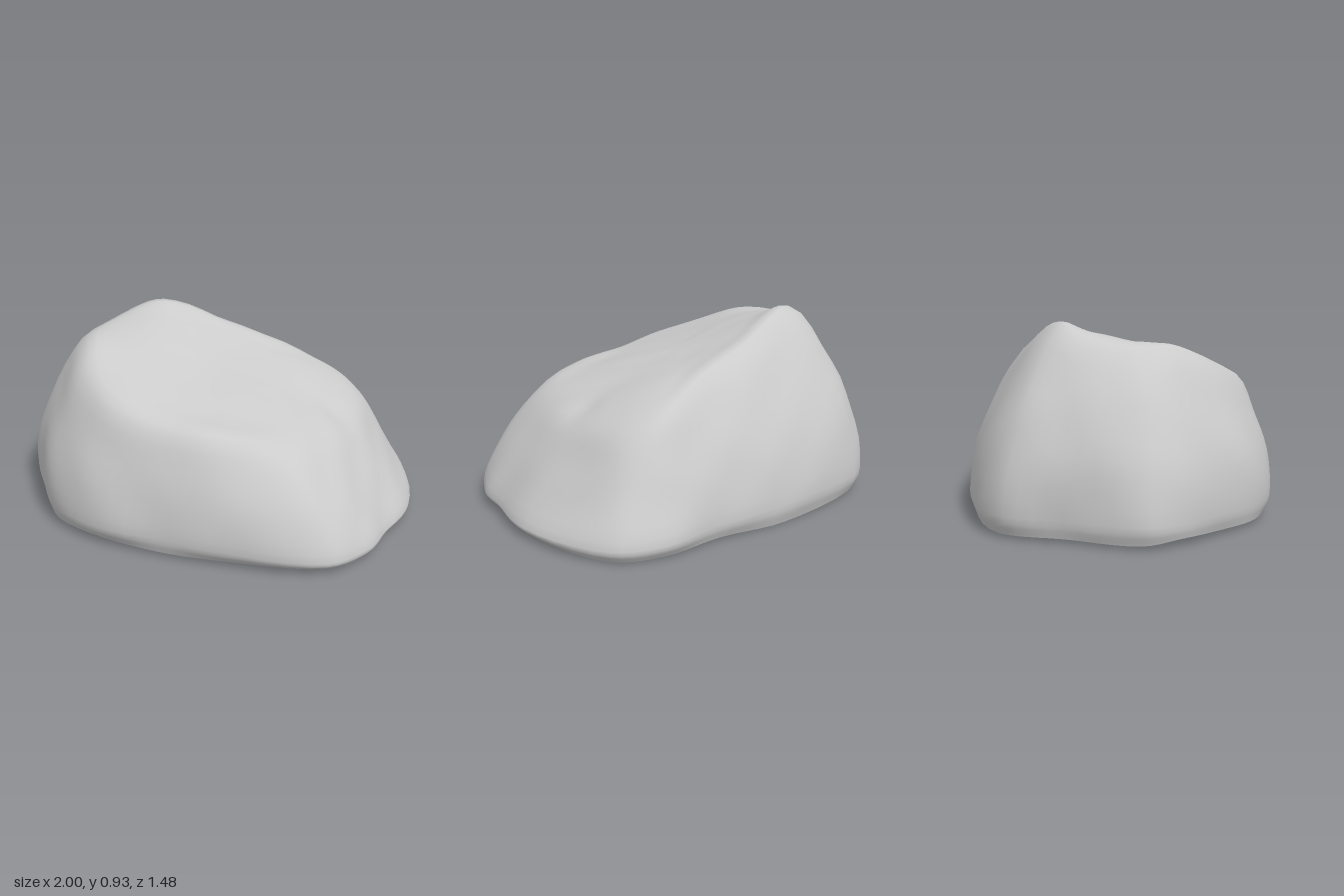
import * as THREE from 'three';

// Widest outline near the ground: [x, z], starting at +x and turning towards +z
const OUTLINE = [
  [1, -0.08], [0.94, 0.24], [0.89, 0.45], [0.75, 0.65], [0.3, 0.73], [-0.05, 0.73],
  [-0.4, 0.69], [-0.65, 0.56], [-0.81, 0.34], [-0.96, 0.12], [-0.99, -0.06], [-0.82, -0.38],
  [-0.65, -0.66], [-0.04, -0.74], [0.35, -0.69], [0.66, -0.67], [0.87, -0.55],
];
// Shoulder where the walls turn into the sloping top: [x, y, z]
const SHOULDER = [
  [0.68, 0.5, -0.08], [0.64, 0.5, 0.18], [0.56, 0.51, 0.36], [0.44, 0.54, 0.5],
  [0.22, 0.58, 0.58], [-0.05, 0.6, 0.59], [-0.36, 0.67, 0.52], [-0.52, 0.75, 0.36],
  [-0.6, 0.82, 0.18], [-0.65, 0.83, 0.06], [-0.66, 0.83, -0.06], [-0.57, 0.87, -0.24],
  [-0.4, 0.935, -0.34], [-0.05, 0.81, -0.42], [0.26, 0.71, -0.45], [0.56, 0.56, -0.48],
  [0.68, 0.5, -0.37],
];
const AROUND = 85, ROWS = 26;

// Round swelling of the top about (cx, cz)
const swell = (x, z, cx, cz, size) => Math.exp(-((x - cx) ** 2 + (z - cz) ** 2) / size);
// Tilted top, falling towards +x and +z, raised at the peak and at the front shelf
const topHeight = (x, z) => 0.725 - 0.27 * x - 0.2 * z
  + 0.03 * swell(x, z, -0.38, -0.25, 0.06) + 0.04 * swell(x, z, 0.45, 0.28, 0.06);
const CENTRE = new THREE.Vector3(-0.02, topHeight(-0.02, 0.03), 0.03);

// Closed smooth loop passing through one control point per spoke
function loop(points) {
  const curve = new THREE.CatmullRomCurve3(points, true, 'centripetal');
  return (i) => curve.getPoint(i / AROUND);
}

// Gentle uneven surface
function relief(p) {
  return 0.005 * Math.sin(9 * p.x + 4 * p.y + 1) * Math.sin(8 * p.z - 5 * p.y)
    + 0.004 * Math.sin(17 * p.x - 6 * p.z) * Math.cos(15 * p.y + 11 * p.z);
}

function rockGeometry() {
  const base = OUTLINE.map(([x, z]) => new THREE.Vector3(x, 0.09 - 0.04 * Math.max(0, x), z));
  const rim = base.map((p, i) => new THREE.Vector3(
    p.x * 0.98, 0.028 - 0.025 * Math.max(0, -p.z) + 0.008 * Math.sin(i * 2.3), p.z * 0.965));
  const shoulder = SHOULDER.map((p) => new THREE.Vector3(...p));
  // Taller walls and the front corner at +x bulge further outwards
  const wall = (t) => base.map((p, i) => {
    const s = shoulder[i];
    const out = new THREE.Vector3(p.x, 0, p.z).normalize();
    const corner = 0.04 * Math.max(0, (out.x + out.z) * Math.SQRT1_2) ** 8;
    const bulge = (Math.max(0.015, 0.22 * (s.y - 0.45)) + corner) * Math.sin(Math.PI * t);
    return p.clone().lerp(s, t).addScaledVector(out, bulge);
  });
  // Rings on the top, easing from the shoulder onto the slope
  const cap = (t, ease) => shoulder.map((s) => {
    const p = s.clone().lerp(CENTRE, t);
    p.y += (topHeight(p.x, p.z) - p.y) * ease;
    return p;
  });
  const loops = [rim, base, wall(0.33), wall(0.67), shoulder, cap(0.28, 0.7), cap(0.6, 1)]
    .map(loop);

  const pos = [], index = [];
  const dent = new THREE.Vector3(0.62, 0.53, -0.02);
  const middle = new THREE.Vector3(0, 0.2, 0);
  for (let i = 0; i < AROUND; i++) {
    const spoke = new THREE.CatmullRomCurve3(
      [...loops.map((f) => f(i)), CENTRE], false, 'centripetal');
    for (let j = 0; j < ROWS; j++) {
      const p = spoke.getPoint(j / ROWS);
      const out = p.clone().sub(middle).normalize();
      const fade = Math.min(1, j / 4, (ROWS - j) / 4);
      const hollow = 0.025 * Math.exp(-p.distanceToSquared(dent) / 0.006);
      p.addScaledVector(out, relief(p) * fade - hollow);
      pos.push(p.x, Math.max(0, p.y), p.z);
    }
  }
  const tip = AROUND * ROWS;
  pos.push(CENTRE.x, CENTRE.y, CENTRE.z);
  for (let i = 0; i < AROUND; i++) {
    const a = i * ROWS, b = ((i + 1) % AROUND) * ROWS;
    for (let j = 0; j < ROWS - 1; j++) {
      index.push(a + j, a + j + 1, b + j, b + j, a + j + 1, b + j + 1);
    }
    index.push(a + ROWS - 1, tip, b + ROWS - 1);
  }
  const geometry = new THREE.BufferGeometry();
  geometry.setAttribute('position', new THREE.Float32BufferAttribute(pos, 3));
  geometry.setIndex(index);
  geometry.computeVertexNormals();
  return geometry;
}

export function createModel() {
  const group = new THREE.Group();
  group.name = 'rock';
  // Hollow shell, open underneath
  const shell = new THREE.Mesh(rockGeometry(),
    new THREE.MeshStandardMaterial({ color: 0xcccccc, side: THREE.DoubleSide }));
  shell.name = 'rockShell';
  group.add(shell);
  return group;
}
